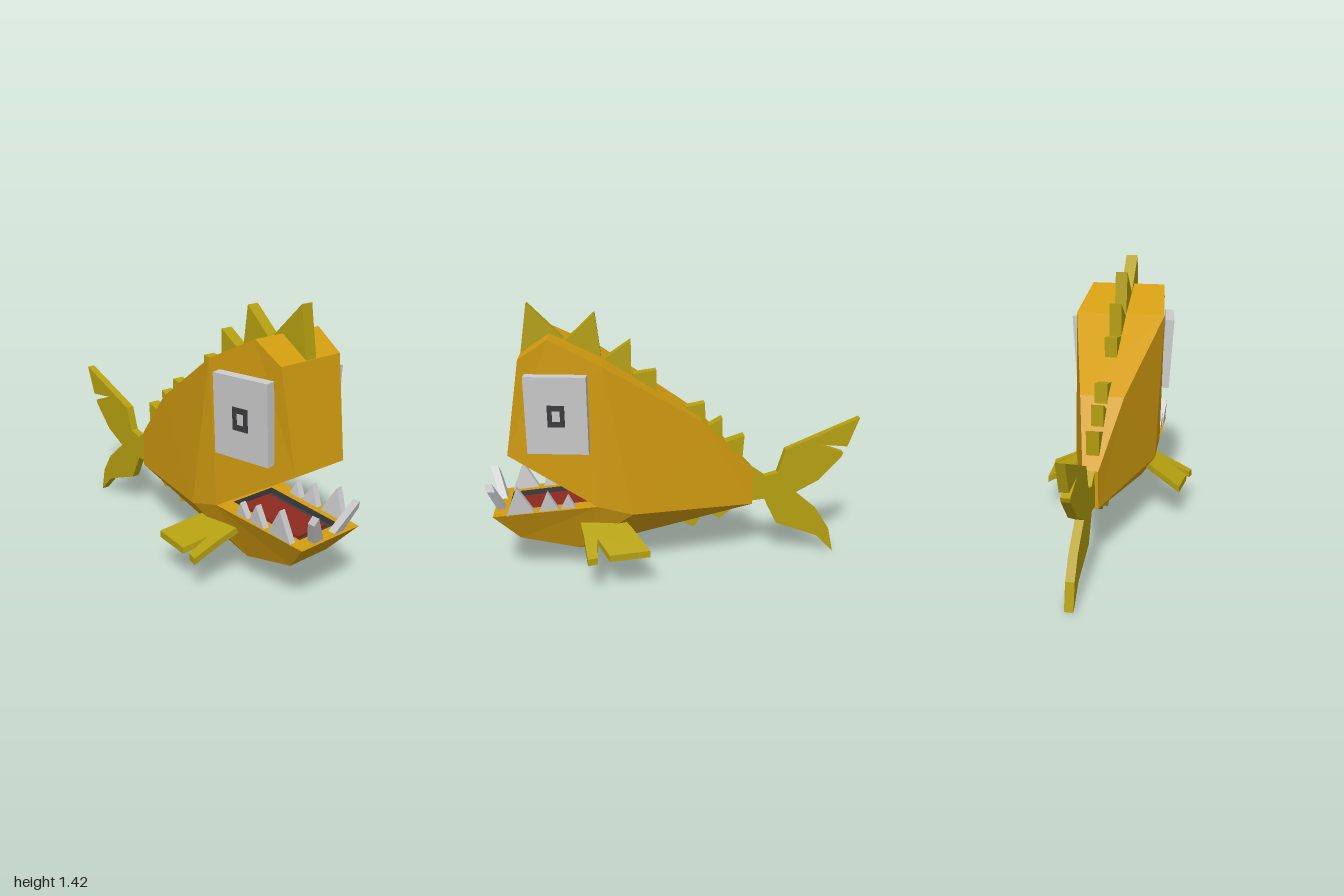
import * as THREE from 'three';

const paint = (color) => new THREE.MeshStandardMaterial({ color, flatShading: true });
const GOLD = paint(0xd29c10), FIN = paint(0xb5a010), GREY = paint(0xcccccc);
const DARK = paint(0x3c3c40), BLACK = paint(0x222222), RED = paint(0x8c2a20);

function add(parent, name, geometry, material) {
  const mesh = new THREE.Mesh(geometry, material);
  mesh.name = name;
  parent.add(mesh);
  return mesh;
}

// Flat-sided surface from convex polygons, each split as a fan
function faceted(polygons) {
  const pos = [];
  for (const p of polygons)
    for (let i = 1; i < p.length - 1; i++) pos.push(...p[0], ...p[i], ...p[i + 1]);
  const g = new THREE.BufferGeometry();
  g.setAttribute('position', new THREE.Float32BufferAttribute(pos, 3));
  g.computeVertexNormals();
  return g;
}

const flip = ([x, y, z]) => [-x, y, z];
const span = (p, q) => [flip(p), p, q, flip(q)];
const ring = (outer, inner) => outer.map((p, i) => {
  const k = (i + 1) % 4;
  return [p, outer[k], inner[k], inner[i]];
});

// Copy of a geometry on the other side, with the corner order reversed
function mirrored(geometry) {
  const g = geometry.index ? geometry.toNonIndexed() : geometry.clone();
  g.scale(-1, 1, 1);
  const p = g.attributes.position, a = new THREE.Vector3(), b = new THREE.Vector3();
  for (let i = 0; i < p.count; i += 3) {
    a.fromBufferAttribute(p, i + 1);
    b.fromBufferAttribute(p, i + 2);
    p.setXYZ(i + 1, b.x, b.y, b.z);
    p.setXYZ(i + 2, a.x, a.y, a.z);
  }
  g.computeVertexNormals();
  return g;
}

function addPair(parent, name, geometry, material) {
  add(parent, name + 'Left', geometry, material);
  add(parent, name + 'Right', mirrored(geometry), material);
}

function extrude(points, depth, hole) {
  const shape = new THREE.Shape(points.map((p) => new THREE.Vector2(...p)));
  if (hole) shape.holes.push(new THREE.Path(hole.map((p) => new THREE.Vector2(...p))));
  return new THREE.ExtrudeGeometry(shape, { depth, bevelEnabled: false }).translate(0, 0, -depth / 2);
}

// Upright plate drawn in the side plane as [z, y] points
const plate = (points, thickness, hole) => extrude(points, thickness, hole).rotateY(-Math.PI / 2);

function bend(geometry, rule) {
  const p = geometry.attributes.position, v = new THREE.Vector3();
  for (let i = 0; i < p.count; i++) {
    rule(v.fromBufferAttribute(p, i));
    p.setXYZ(i, v.x, v.y, v.z);
  }
  geometry.computeVertexNormals();
  return geometry;
}

const rect = (w, h) => [[-w, -h], [w, -h], [w, h], [-w, h]];

// Body shell corners: half width, height, depth
const lip = [0.165, 0.67, 0.87], brow = [0.195, 1.17, 0.79], crown = [0.21, 1.27, 0.64];
const nape = [0.25, 1.14, 0.38], back = [0.116, 0.81, -0.13];
const tailTop = [0.04, 0.51, -0.42], tailLow = [0.04, 0.31, -0.42];
const belly = [0.11, 0.12, 0.52], chin = [0.13, 0.2, 0.83], jawTip = [0.2, 0.35, 0.96];
const corner = [0.23, 0.4, 0.42], cheek = [0.23, 0.35, 0.24];

// Mouth surface with a sunken opening
function mouthPanel(p, q, t0, t1, half, sink) {
  const at = (t) => [half, p[1] + (q[1] - p[1]) * t, p[2] + (q[2] - p[2]) * t];
  const outer = span(p, q), inner = span(at(t0), at(t1));
  const floor = inner.map(([x, y, z]) => [x, y + sink, z]);
  return { rim: ring(outer, inner), pit: [...ring(inner, floor), floor] };
}

function buildBody(group) {
  const jaw = mouthPanel(jawTip, corner, 0.14, 0.96, 0.135, -0.03);
  const roof = mouthPanel(corner, lip, 0.06, 0.93, 0.125, 0.06);
  const loop = [lip, brow, crown, nape, back, tailTop, tailLow, belly, chin, jawTip];
  const middle = loop.slice(1).map((p, i) => span(loop[i], p));
  const side = [
    [lip, corner, nape], [lip, nape, crown], [lip, crown, brow],
    [corner, cheek, nape], [nape, cheek, back], [back, cheek, tailLow], [back, tailLow, tailTop],
    [jawTip, chin, corner], [chin, belly, corner], [belly, cheek, corner], [belly, tailLow, cheek],
  ];
  const otherSide = side.map((f) => f.map(flip).reverse());
  add(group, 'body', faceted([...middle, ...side, ...otherSide, ...jaw.rim, ...roof.rim]), GOLD);
  add(group, 'mouthFloor', faceted(jaw.pit), DARK);
  add(group, 'mouthRoof', faceted(roof.pit), BLACK);
  const tongue = add(group, 'tongue', new THREE.BoxGeometry(0.19, 0.02, 0.38), RED);
  tongue.position.set(0, 0.354, 0.65);
  tongue.rotation.x = 0.092;
}

function buildEyes(group) {
  const place = (g) => g.rotateZ(-0.06).rotateY(-0.14).translate(0.238, 0.9, 0.607);
  addPair(group, 'eye', place(new THREE.BoxGeometry(0.05, 0.4, 0.31)), GREY);
  const pupil = plate(rect(0.043, 0.056), 0.006, rect(0.02, 0.028)).translate(0.026, 0, 0);
  addPair(group, 'pupil', place(pupil), DARK);
}

function buildTeeth(group) {
  // Front fangs splay outward and lean forward
  const fang = extrude([[0.04, 0.355], [0.1, 0.345], [0.155, 0.47], [0.142, 0.51]], 0.04);
  addPair(group, 'fang', bend(fang, (v) => { v.z += 0.925 + (v.y - 0.35) * 0.35; }), GREY);
  // Side teeth: rear base, front base, tip depth, tip height
  [[0.74, 0.89, 0.83, 0.51], [0.61, 0.73, 0.675, 0.48], [0.52, 0.625, 0.57, 0.46]].forEach(([r, f, z, y], i) => {
    const tooth = plate([[r, 0.36], [f, 0.35], [z, y]], 0.035);
    bend(tooth, (v) => { v.x += 0.185 + (v.y - 0.36) * 0.1; });
    addPair(group, 'sideTooth' + (i + 1), tooth, GREY);
  });
}

function buildFins(group) {
  // Spikes along the back
  [
    [[0.79, 1.16], [0.75, 1.42], [0.57, 1.24], [0.62, 1.15]],
    [[0.57, 1.22], [0.41, 1.37], [0.38, 1.12]],
    [[0.385, 1.12], [0.23, 1.225], [0.23, 1.02]],
    [[0.23, 1.03], [0.22, 1.05], [0.1, 1.067], [0.1, 0.94]],
    [[-0.05, 0.84], [-0.05, 0.865], [-0.155, 0.885], [-0.16, 0.76]],
    [[-0.16, 0.75], [-0.25, 0.8], [-0.25, 0.67]],
    [[-0.25, 0.66], [-0.37, 0.7], [-0.36, 0.55]],
  ].forEach((p, i) => add(group, 'backSpike' + (i + 1), plate(p, 0.066), FIN));

  // Small fins under the belly
  [[[0, 0.23], [-0.1, 0.18], [-0.16, 0.27]], [[-0.17, 0.27], [-0.24, 0.225], [-0.35, 0.31]]]
    .forEach((p, i) => add(group, 'bellyFin' + (i + 1), plate(p, 0.05), FIN));

  // Forked tail
  add(group, 'tailFin', plate([
    [-0.4, 0.51], [-0.42, 0.51], [-0.49, 0.46], [-0.56, 0.48], [-0.6, 0.61], [-1, 0.78],
    [-0.94, 0.62], [-0.78, 0.635], [-0.88, 0.6], [-0.92, 0.585], [-0.91, 0.56], [-0.79, 0.43],
    [-0.66, 0.36], [-0.79, 0.25], [-0.86, 0.14], [-0.89, 0], [-0.79, 0.1], [-0.56, 0.185],
    [-0.49, 0.33], [-0.4, 0.32],
  ], 0.045), FIN);

  // Notched side fins, drawn flat and sloped down away from the body
  const sideFin = extrude([
    [0.15, 0.3], [0.22, 0.25], [0.38, 0.16], [0.4, 0.365], [0.29, 0.425],
    [0.41, 0.425], [0.42, 0.475], [0.27, 0.495], [0.15, 0.52],
  ], 0.035).rotateX(Math.PI / 2);
  addPair(group, 'sideFin', bend(sideFin, (v) => { v.y += 0.285 - (v.x - 0.17) * 0.43; }), FIN);
}

export function createModel() {
  const group = new THREE.Group();
  group.name = 'fish';
  buildBody(group);
  buildEyes(group);
  buildTeeth(group);
  buildFins(group);
  return group;
}
